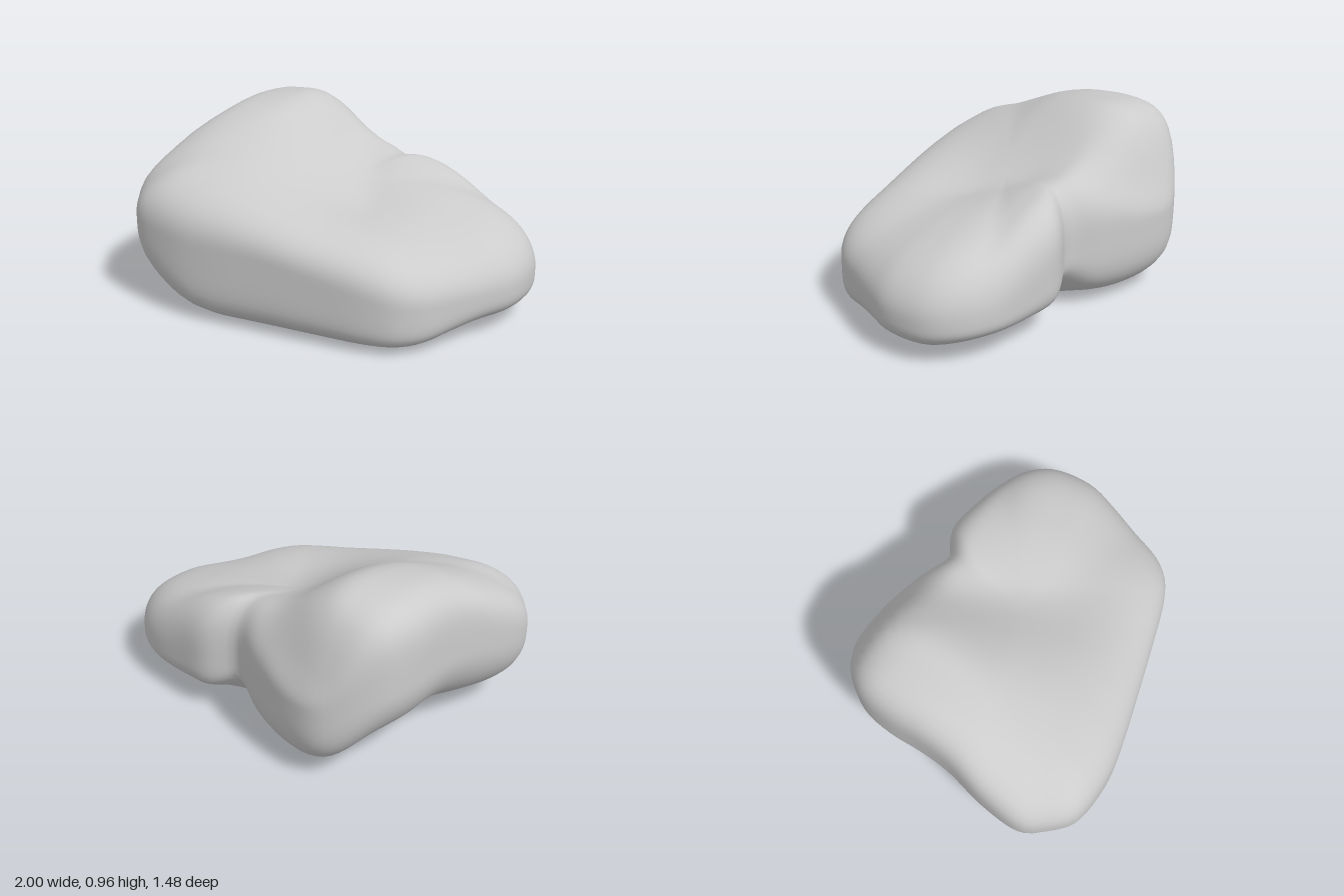
import * as THREE from 'three';
import { mergeVertices } from 'three/addons/utils/BufferGeometryUtils.js';

const { smoothstep, lerp } = THREE.MathUtils;

// Plan outline as x, z pairs, from the +x end round by the front
const OUTLINE = [
  [1, -0.1], [0.98, 0.06], [0.91, 0.2], [0.8, 0.38], [0.7, 0.54], [0.6, 0.62], [0.47, 0.66],
  [0.2, 0.69], [-0.1, 0.715], [-0.4, 0.735], [-0.58, 0.73], [-0.8, 0.68], [-0.87, 0.64],
  [-0.95, 0.53], [-1, 0.42], [-0.96, 0.2], [-0.87, -0.03], [-0.83, -0.2], [-0.8, -0.38],
  [-0.74, -0.54], [-0.62, -0.66], [-0.47, -0.735], [-0.38, -0.74], [-0.2, -0.69], [0, -0.59],
  [0.19, -0.48], [0.27, -0.51], [0.36, -0.535], [0.55, -0.5], [0.75, -0.44], [0.9, -0.34], [0.98, -0.22],
];

// Height along z of the tall hump and of the low lobe, as z, y pairs
const HUMP = [[-0.75, 0.58], [-0.68, 0.72], [-0.62, 0.86], [-0.54, 0.955], [-0.4, 0.98], [-0.2, 0.965],
  [0, 0.925], [0.2, 0.865], [0.4, 0.82], [0.6, 0.8], [0.75, 0.8]];
const LOBE = [[-0.75, 0.62], [-0.55, 0.7], [-0.42, 0.72], [-0.3, 0.69], [0, 0.62], [0.3, 0.59], [0.75, 0.63]];

// Smooth interpolation through a table
function sample(table, z) {
  let i = 0;
  while (i < table.length - 2 && z > table[i + 1][0]) i++;
  const at = k => table[Math.min(Math.max(k, 0), table.length - 1)];
  const slope = k => (at(k + 1)[1] - at(k - 1)[1]) / (at(k + 1)[0] - at(k - 1)[0]);
  const [z0, y0] = at(i), [z1, y1] = at(i + 1), d = z1 - z0;
  const t = Math.min(Math.max((z - z0) / d, 0), 1), u = 1 - t;
  return y0 * (1 + 2 * t) * u * u + slope(i) * d * t * u * u
    + y1 * t * t * (3 - 2 * t) - slope(i + 1) * d * t * t * u;
}

const bump = (x, z, cx, cz, r) => Math.exp(-((x - cx) ** 2 + (z - cz) ** 2) / (r * r));

// Upper surface: hump on the -x side falling to the lobe, with a slanting rim at the back
function topHeight(x, z) {
  const f = smoothstep(z, -0.4, 0.65);
  const mix = smoothstep(x, lerp(-0.45, -0.75, f), lerp(0.08, 0.4, f));
  const slant = 0.3 * (x + 0.4) * smoothstep(-z, 0.2, 0.45);
  const hump = sample(HUMP, z - slant) + 0.02 * smoothstep(-x, 0.5, 0.75);
  const lobe = sample(LOBE, z) + 0.03 * smoothstep(x, 0.6, 0.95);
  return lerp(hump, lobe, mix) + 0.03 * bump(x, z, 0.08, -0.38, 0.15) - 0.025 * bump(x, z, 0.15, 0.15, 0.25);
}

// Underside: nearly flat, lower under the back bulge, grooved below the notch
function bottomHeight(x, z) {
  return 0.035 - 0.025 * smoothstep(z, 0.1, 0.5) - 0.04 * bump(x, z, -0.32, -0.42, 0.22)
    + 0.14 * bump(x, z, 0.2, -0.48, 0.14) + 0.06 * smoothstep(x, 0.2, 0.5) * smoothstep(-z, 0.1, 0.45);
}

export function createModel() {
  const AROUND = 128, RINGS = 56;
  const curve = new THREE.CatmullRomCurve3(OUTLINE.map(([x, z]) => new THREE.Vector3(x, 0, z)), true);
  const rim = curve.getSpacedPoints(AROUND);
  rim[AROUND].copy(rim[0]);

  // Each slice is a rounded arc from the underside centre to the top centre
  const positions = [], index = [];
  for (let i = 0; i <= AROUND; i++) {
    const p = rim[i];
    const side = smoothstep(-p.x, 0.35, 0.95), end = smoothstep(p.x, 0.25, 0.85);
    const sideBack = smoothstep(-p.x, 0.48, 0.78) * smoothstep(-p.z, -0.55, 0.2);
    const middle = 0.42 - 0.17 * smoothstep(p.x, -0.3, 0.9) + 0.04 * side + 0.09 * sideBack;
    // Squareness of the shoulder above and of the edge below
    const shoulder = lerp(lerp(2.5, 4, smoothstep(-p.z, 0.3, 0.55)), 5, sideBack);
    const above = lerp(shoulder, 2.1, end);
    const below = lerp(lerp(3.7 + 3 * smoothstep(p.z, 0.2, 0.7), 2.7, side), 2.1, sideBack);
    for (let j = 0; j <= RINGS; j++) {
      const a = (j / RINGS - 0.5) * Math.PI;
      const c = j === 0 || j === RINGS ? 0 : Math.cos(a), s = Math.sin(a);
      const n = s < 0 ? below : above;
      const norm = (c ** n + Math.abs(s) ** n) ** (1 / n);
      const k = c / norm, h = s / norm;
      const x = p.x * k, z = p.z * k;
      const limit = h > 0 ? topHeight(x, z) : bottomHeight(x, z);
      positions.push(x, lerp(middle, limit, Math.abs(h)), z);
    }
  }
  const row = RINGS + 1;
  for (let i = 0; i < AROUND; i++) {
    for (let j = 0; j < RINGS; j++) {
      const a = i * row + j, b = a + row;
      if (j > 0) index.push(a, a + 1, b);
      if (j < RINGS - 1) index.push(b, a + 1, b + 1);
    }
  }

  let geometry = new THREE.BufferGeometry();
  geometry.setAttribute('position', new THREE.Float32BufferAttribute(positions, 3));
  geometry.setIndex(index);
  geometry = mergeVertices(geometry, 1e-5);
  geometry.computeVertexNormals();

  const boulder = new THREE.Mesh(geometry, new THREE.MeshStandardMaterial({ color: 0xcccccc }));
  boulder.name = 'boulder';
  const group = new THREE.Group();
  group.name = 'rock';
  group.add(boulder);
  return group;
}
